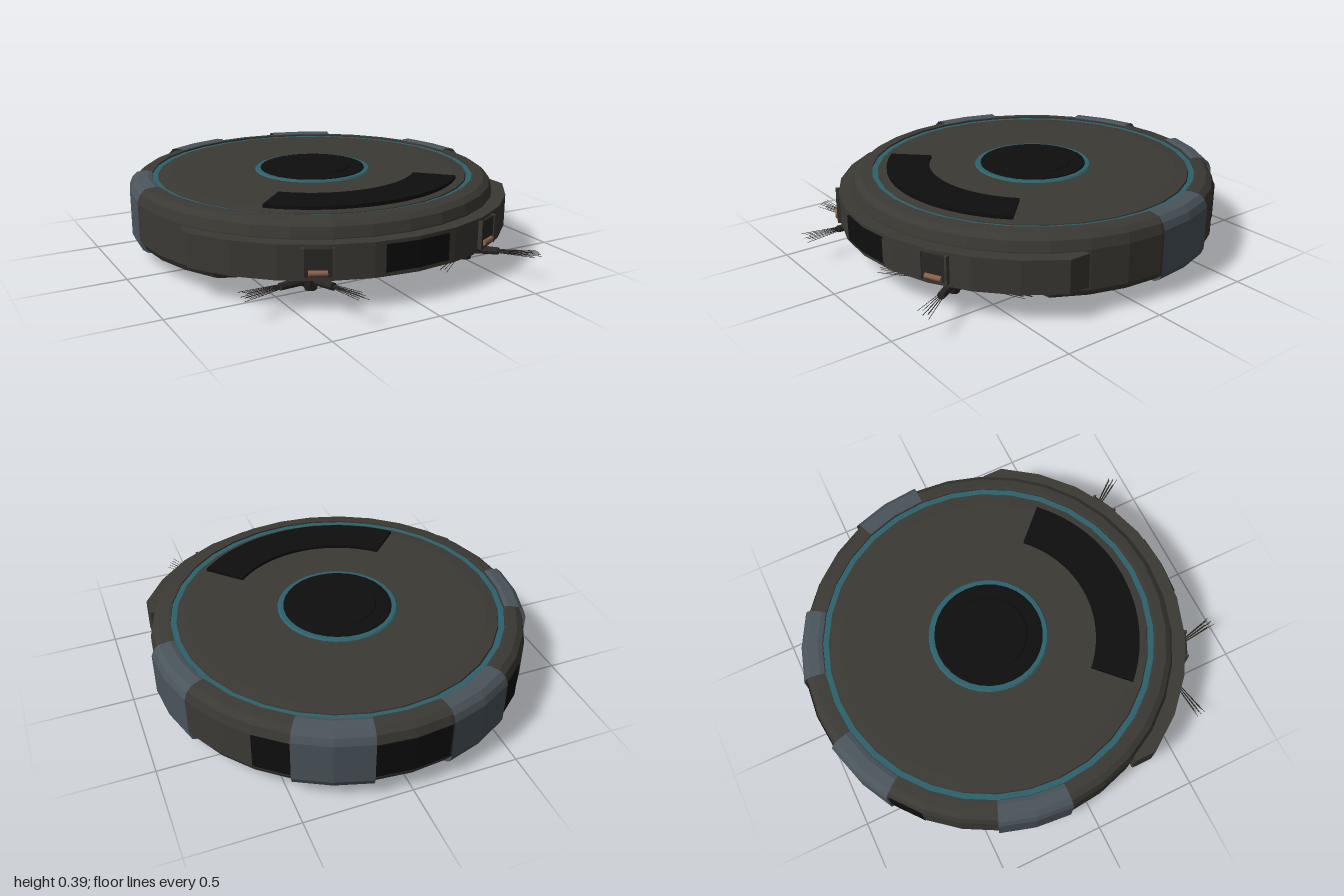
import * as THREE from 'three';

const STEP = Math.PI / 16; // facet angle of the round body
const CZ = -0.11; // centre of the disc in z

const paint = (color, flat = true) =>
  new THREE.MeshStandardMaterial({ color, flatShading: flat, side: THREE.DoubleSide });

function add(parent, name, geometry, material) {
  const mesh = new THREE.Mesh(geometry, material);
  mesh.name = name;
  parent.add(mesh);
  return mesh;
}

// Turned shape; start and length count body facets, 0 being the front
function turned(profile, start = 0, facets = 32, segments = facets) {
  const points = profile.map(([r, y]) => new THREE.Vector2(r, y));
  return new THREE.LatheGeometry(points, segments, start * STEP, facets * STEP);
}

// Flat plan shape in x / z raised between two heights
function slab(shape, y0, y1) {
  const g = new THREE.ExtrudeGeometry(shape, { depth: y1 - y0, bevelEnabled: false });
  return g.rotateX(Math.PI / 2).translate(0, y1, 0);
}

export function createModel() {
  const model = new THREE.Group();
  model.name = 'robotVacuum';
  const shell = paint(0x3b3934);
  const grey = paint(0x4a545b);
  const black = paint(0x0e0e0e);
  const teal = paint(0x2c626c);
  const dark = paint(0x2a2825);
  const copper = paint(0x8a6048, false);

  const disc = new THREE.Group();
  disc.name = 'disc';
  disc.position.z = CZ;
  model.add(disc);

  // Upper body with a groove for the light ring
  add(disc, 'upperBody', turned([
    [0, 0.145], [0.885, 0.145], [0.885, 0.3], [0.872, 0.345], [0.845, 0.366], [0.8, 0.372],
    [0.787, 0.372], [0.787, 0.355], [0.758, 0.355], [0.755, 0.367], [0.7, 0.372], [0, 0.372],
  ]), shell);

  // Lower body, cut straight across at the front to leave room for the brushes
  const lower = turned([[0, 0.07], [0.83, 0.07], [0.868, 0.085], [0.885, 0.115], [0.885, 0.146]]);
  const p = lower.attributes.position;
  for (let i = 0; i < p.count; i++) p.setZ(i, Math.min(p.getZ(i), 0.5));
  add(disc, 'lowerBody', lower, shell);

  // Light rings
  add(disc, 'lightRing', turned([[0.787, 0.364], [0.76, 0.364]]), teal);
  add(disc, 'turretRing', turned([[0.285, 0.372], [0.278, 0.379], [0.258, 0.379], [0.255, 0.372]]), teal);

  // Centre turret
  add(disc, 'turret', turned([
    [0.26, 0.372], [0.255, 0.384], [0.24, 0.386], [0.185, 0.384], [0.18, 0.39], [0, 0.39],
  ]), black);

  // Curved control panel on the lid, a quarter turn wide
  const panel = new THREE.Shape();
  panel.absarc(0, 0, 0.715, Math.PI / 4, Math.PI * 3 / 4, false);
  panel.absarc(0, 0, 0.51, Math.PI * 3 / 4, Math.PI / 4, true);
  panel.closePath();
  add(disc, 'controlPanel', slab(panel, 0.365, 0.387), black);

  // Raised grey wall panels: two at the back, one on each side
  const wrap = [
    [0.81, 0.062], [0.86, 0.067], [0.885, 0.085], [0.898, 0.115], [0.898, 0.32],
    [0.885, 0.352], [0.86, 0.375], [0.81, 0.381], [0.79, 0.376],
  ];
  for (const [name, start] of [
    ['leftSidePanel', 8], ['leftBackPanel', 13], ['rightBackPanel', 17], ['rightSidePanel', 22],
  ]) add(disc, name, turned(wrap, start, 2), grey);

  // Dark windows in the back wall
  const windowProfile = [[0.87, 0.125], [0.889, 0.125], [0.889, 0.302], [0.865, 0.302]];
  add(disc, 'backWindow', turned(windowProfile, 15, 2), black);
  add(disc, 'leftBackWindow', turned(windowProfile, 12, 1), black);
  add(disc, 'rightBackWindow', turned(windowProfile, 19, 1), black);

  // Front bumper
  const bumper = new THREE.Shape();
  const half = Math.asin(0.83 / 0.95);
  bumper.moveTo(-0.6, 0.36);
  bumper.lineTo(-0.83, 0.36);
  for (let i = -5; i <= 5; i++) {
    const a = i / 5 * half;
    bumper.lineTo(0.95 * Math.sin(a), 0.95 * Math.cos(a));
  }
  bumper.lineTo(0.83, 0.36);
  bumper.lineTo(0.6, 0.36);
  bumper.closePath();
  add(disc, 'bumper', slab(bumper, 0.14, 0.295), shell);
  add(disc, 'frontWindow', turned(
    [[0.93, 0.16], [0.956, 0.16], [0.956, 0.28], [0.93, 0.28]], -0.84, 1.68, 2), black);

  for (const side of [-1, 1]) {
    const label = side > 0 ? 'left' : 'right';

    // Small sensor bay with a copper contact at its foot
    const bay = new THREE.Group();
    bay.name = label + 'SensorBay';
    bay.position.set(side * 0.42, 0.22, 0.735);
    bay.rotation.y = side * 0.45;
    model.add(bay);
    add(bay, 'sensorPane', new THREE.BoxGeometry(0.12, 0.12, 0.03), dark);
    for (const x of [-0.062, 0.062]) {
      add(bay, 'sensorFrame', new THREE.BoxGeometry(0.01, 0.13, 0.04), shell).position.x = x;
    }
    const contact = new THREE.CylinderGeometry(0.013, 0.013, 0.08, 12).rotateZ(Math.PI / 2);
    add(bay, 'copperContact', contact, copper).position.set(0, -0.042, 0.016);

    // Drive wheel made of three drums on a core
    const wheel = new THREE.Group();
    wheel.name = label + 'Wheel';
    wheel.position.set(side * 0.46, 0.104, -0.2);
    model.add(wheel);
    for (const [name, radius, width, x] of [
      ['wheelCore', 0.096, 0.33, 0], ['innerDrum', 0.104, 0.1, -0.12],
      ['middleDrum', 0.104, 0.09, 0], ['outerDrum', 0.104, 0.1, 0.12],
    ]) {
      const drum = new THREE.CylinderGeometry(radius, radius, width, 20).rotateZ(Math.PI / 2);
      add(wheel, name, drum, dark).position.x = side * x;
    }

    // Four-armed sweeping brush
    const brush = new THREE.Group();
    brush.name = label + 'Brush';
    brush.position.set(side * 0.4, 0.11, 0.63);
    brush.rotation.x = -0.08;
    model.add(brush);
    add(brush, 'brushHub', new THREE.CylinderGeometry(0.06, 0.042, 0.05, 12), dark);
    add(brush, 'brushCap', new THREE.CylinderGeometry(0.035, 0.025, 0.03, 12), dark).position.y = -0.032;
    add(brush, 'brushAxle', new THREE.CylinderGeometry(0.035, 0.035, 0.05, 12), dark).position.y = 0.03;
    for (let i = 0; i < 4; i++) {
      const arm = new THREE.Group();
      arm.name = 'brushArm';
      arm.rotation.y = i * Math.PI / 2 + (side > 0 ? -0.95 : -1.4);
      brush.add(arm);
      const stem = new THREE.CylinderGeometry(0.017, 0.022, 0.15, 8).rotateZ(-Math.PI / 2);
      add(arm, 'brushStem', stem, dark).position.x = 0.08;
      for (let j = 0; j < 9; j++) {
        const length = 0.2 - 0.012 * ((j * 5) % 4);
        const bristle = new THREE.CylinderGeometry(0.0012, 0.0018, length, 4)
          .rotateZ(-Math.PI / 2).translate(length / 2, 0, 0);
        const hair = add(arm, 'bristle', bristle, dark);
        hair.position.set(0.145, 0.006 * ((j % 3) - 1), 0.002 * (j - 4));
        hair.rotation.set(0, -0.02 * (j - 4), 0.04 * ((j % 3) - 1));
      }
    }
  }
  return model;
}
